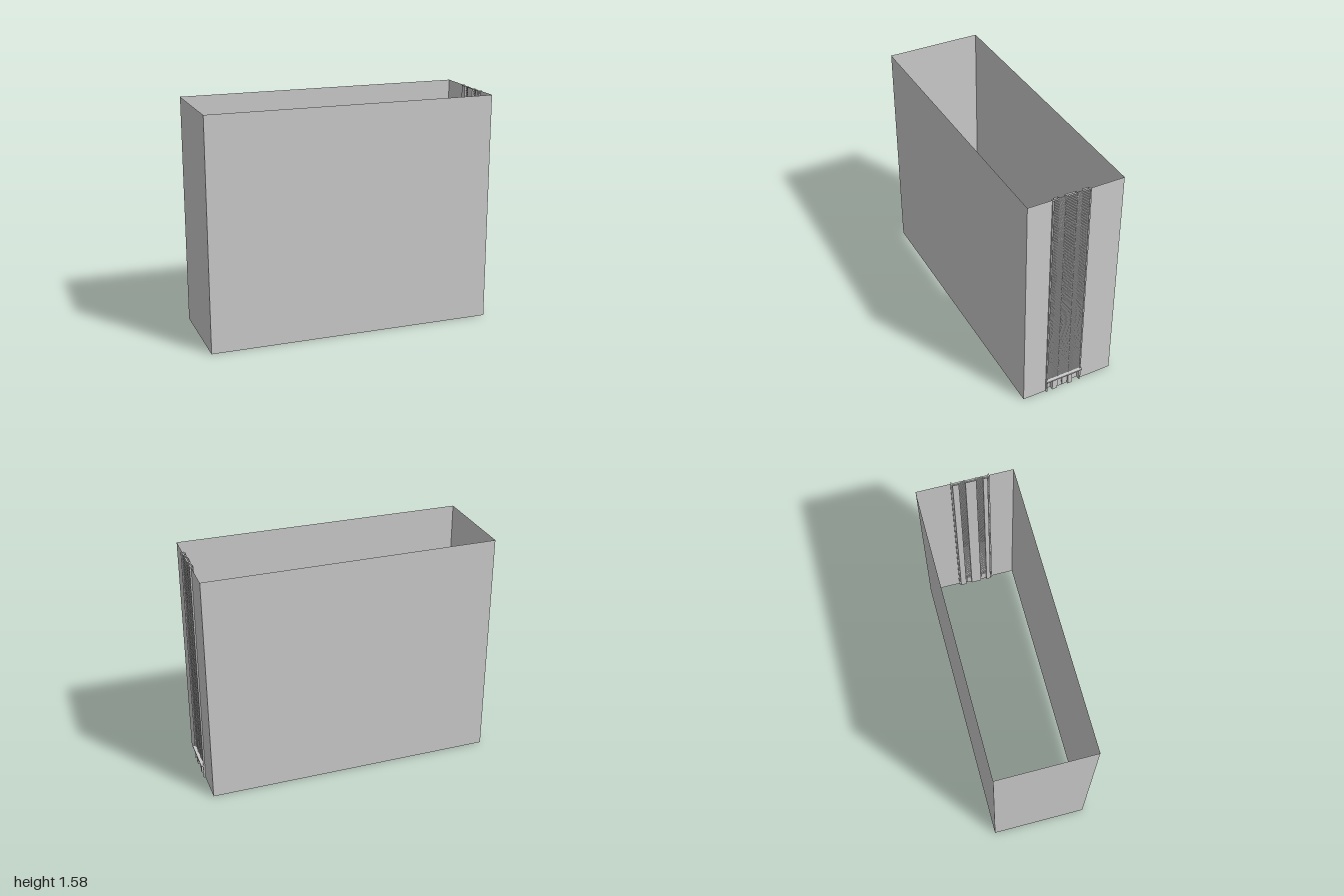
import * as THREE from 'three';

const H = 1.58, D = 0.328, WALL = 0.975;      // wall height, half depth, right wall x
const Z0 = -0.097, Z1 = 0.164;                // facade strip limits
const grey = new THREE.MeshStandardMaterial({ color: 0xcccccc, flatShading: true, side: THREE.DoubleSide });

// Box given by its limits on each axis
function box(name, x0, x1, y0, y1, z0, z1) {
  const m = new THREE.Mesh(new THREE.BoxGeometry(x1 - x0, y1 - y0, z1 - z0), grey);
  m.name = name;
  m.position.set((x0 + x1) / 2, (y0 + y1) / 2, (z0 + z1) / 2);
  return m;
}

// Thin vertical sheet following a plan outline of [x, z] points
function sheet(name, plan, y0, y1) {
  const pos = [];
  for (let i = 0; i < plan.length - 1; i++) {
    const [ax, az] = plan[i], [bx, bz] = plan[i + 1];
    pos.push(ax, y0, az, bx, y0, bz, bx, y1, bz, ax, y0, az, bx, y1, bz, ax, y1, az);
  }
  const g = new THREE.BufferGeometry();
  g.setAttribute('position', new THREE.Float32BufferAttribute(pos, 3));
  g.computeVertexNormals();
  const m = new THREE.Mesh(g, grey);
  m.name = name;
  return m;
}

export function createModel() {
  const model = new THREE.Group();
  model.name = 'building';

  // Open shell: no roof or floor, with a gap for the facade strip
  model.add(sheet('outerWalls',
    [[WALL, Z0], [WALL, -D], [-1, -D], [-1, D], [WALL, D], [WALL, Z1]], 0, H));

  // Facade sheet with three bays set back into the shell
  const plan = [[WALL, Z0]];
  for (const [a, b] of [[-0.09, -0.04], [-0.004, 0.077], [0.115, 0.153]]) {
    plan.push([WALL, a], [0.958, a + 0.004], [0.958, b - 0.004], [WALL, b]);
  }
  plan.push([WALL, Z1]);
  const facade = new THREE.Group();
  facade.name = 'facade';
  facade.add(sheet('facadeBays', plan, 0, H));

  // Closely stacked horizontal bands
  const pitch = 0.0118;
  for (let y = 0.108; y + 0.005 < H; y += pitch) {
    facade.add(box('floorBand', 0.968, 0.979, y, y + 0.005, -0.088, 0.155));
  }

  // Edge posts and slim mullions beside the middle bay
  facade.add(box('rightPost', 0.965, 0.985, 0, H, 0.155, Z1));
  facade.add(box('leftPost', 0.965, 0.985, 0, H, Z0, -0.088));
  for (const z of [-0.004, 0.075]) {
    facade.add(box('mullion', 0.972, 0.981, 0.1, H, z - 0.0015, z + 0.0015));
  }
  model.add(facade);

  // Ground floor: canopy, piers and doors
  const entrance = new THREE.Group();
  entrance.name = 'entrance';
  entrance.add(box('canopy', 0.972, 1, 0.092, 0.102, -0.1, 0.165));
  for (const [a, b] of [[-0.097, -0.086], [-0.032, -0.002], [0.08, 0.118], [0.153, 0.164]]) {
    entrance.add(box('pier', 0.968, 0.986, 0, 0.092, a, b));
  }
  for (const [a, b] of [[0, 0.037], [0.04, 0.078]]) {
    entrance.add(box('door', 0.968, 0.974, 0, 0.072, a, b));
    entrance.add(box('transom', 0.968, 0.977, 0.074, 0.08, a, b));
  }
  for (const z of [0.034, 0.043]) {
    entrance.add(box('doorHandle', 0.974, 0.978, 0.03, 0.045, z - 0.001, z + 0.001));
  }
  model.add(entrance);

  return model;
}
